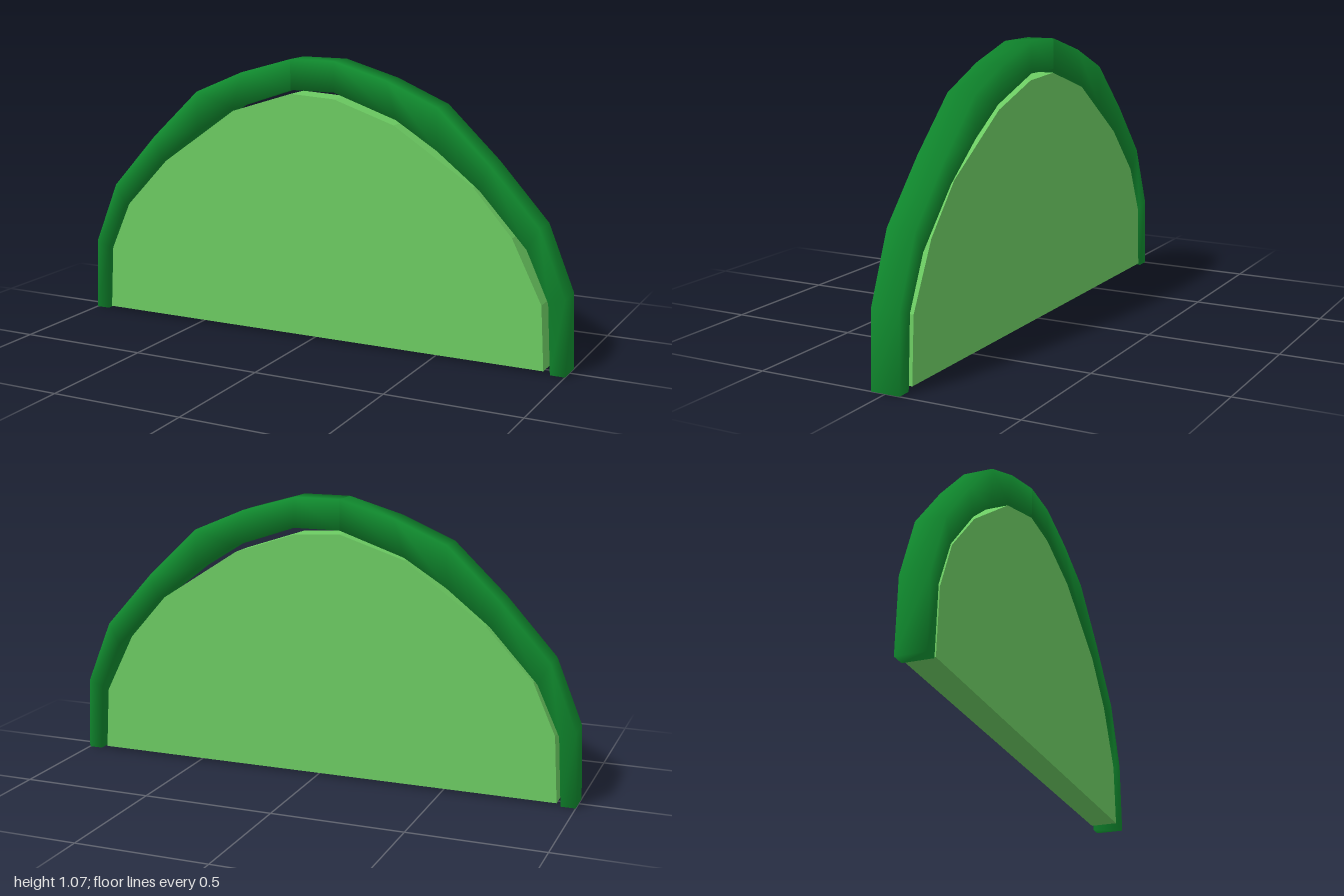
import * as THREE from 'three';

// Square-section band following paired outer / inner outlines, softly shaded
function makeBand(stations, halfDepth) {
  const pos = [], index = [];
  for (const [ox, oy, ix, iy] of stations) {
    pos.push(ox, oy, halfDepth, ox, oy, -halfDepth, ix, iy, -halfDepth, ix, iy, halfDepth);
  }
  for (let i = 0; i < stations.length - 1; i++) {
    for (let k = 0; k < 4; k++) {
      const a = i * 4 + k, b = i * 4 + (k + 1) % 4;
      index.push(a, b, b + 4, a, b + 4, a + 4);
    }
  }
  const e = (stations.length - 1) * 4;
  index.push(0, 2, 1, 0, 3, 2, e, e + 1, e + 2, e, e + 2, e + 3);
  const geo = new THREE.BufferGeometry();
  geo.setAttribute('position', new THREE.Float32BufferAttribute(pos, 3));
  geo.setIndex(index);
  geo.computeVertexNormals();
  return geo;
}

export function createModel() {
  const group = new THREE.Group();
  const rindMat = new THREE.MeshStandardMaterial({ color: 0x108a2e });
  const fleshMat = new THREE.MeshStandardMaterial({ color: 0x6ccb62 });

  // Rind: outer x, y and inner x, y from the cut end up to the crown
  const half = [
    [1, 0, 0.945, 0], [0.99, 0.28, 0.93, 0.26], [0.89, 0.525, 0.845, 0.445],
    [0.7, 0.735, 0.665, 0.64], [0.5, 0.925, 0.5, 0.77], [0.3, 1.01, 0.34, 0.87],
    [0.09, 1.07, 0.09, 0.955],
  ];
  const mirrored = half.map(([a, b, c, d]) => [-a, b, -c, d]).reverse();
  const parts = { rindLeft: [...half, mirrored[0]], rindRight: mirrored };
  for (const [name, stations] of Object.entries(parts)) {
    const rind = new THREE.Mesh(makeBand(stations, 0.055), rindMat);
    rind.name = name;
    group.add(rind);
  }

  // Flesh: flat faceted half disc inside the rind
  const outline = [
    [0.92, 0.01], [0.905, 0.25], [0.79, 0.48], [0.64, 0.65], [0.33, 0.85], [0.09, 0.93],
    [-0.09, 0.94], [-0.34, 0.86], [-0.65, 0.64], [-0.83, 0.45], [-0.915, 0.26], [-0.93, 0.01],
  ];
  const shape = new THREE.Shape(outline.map(([x, y]) => new THREE.Vector2(x, y)));
  const geo = new THREE.ExtrudeGeometry(shape, { depth: 0.106, bevelEnabled: false });
  geo.translate(0, 0, -0.053);
  const flesh = new THREE.Mesh(geo, fleshMat);
  flesh.name = 'flesh';
  group.add(flesh);

  return group;
}
